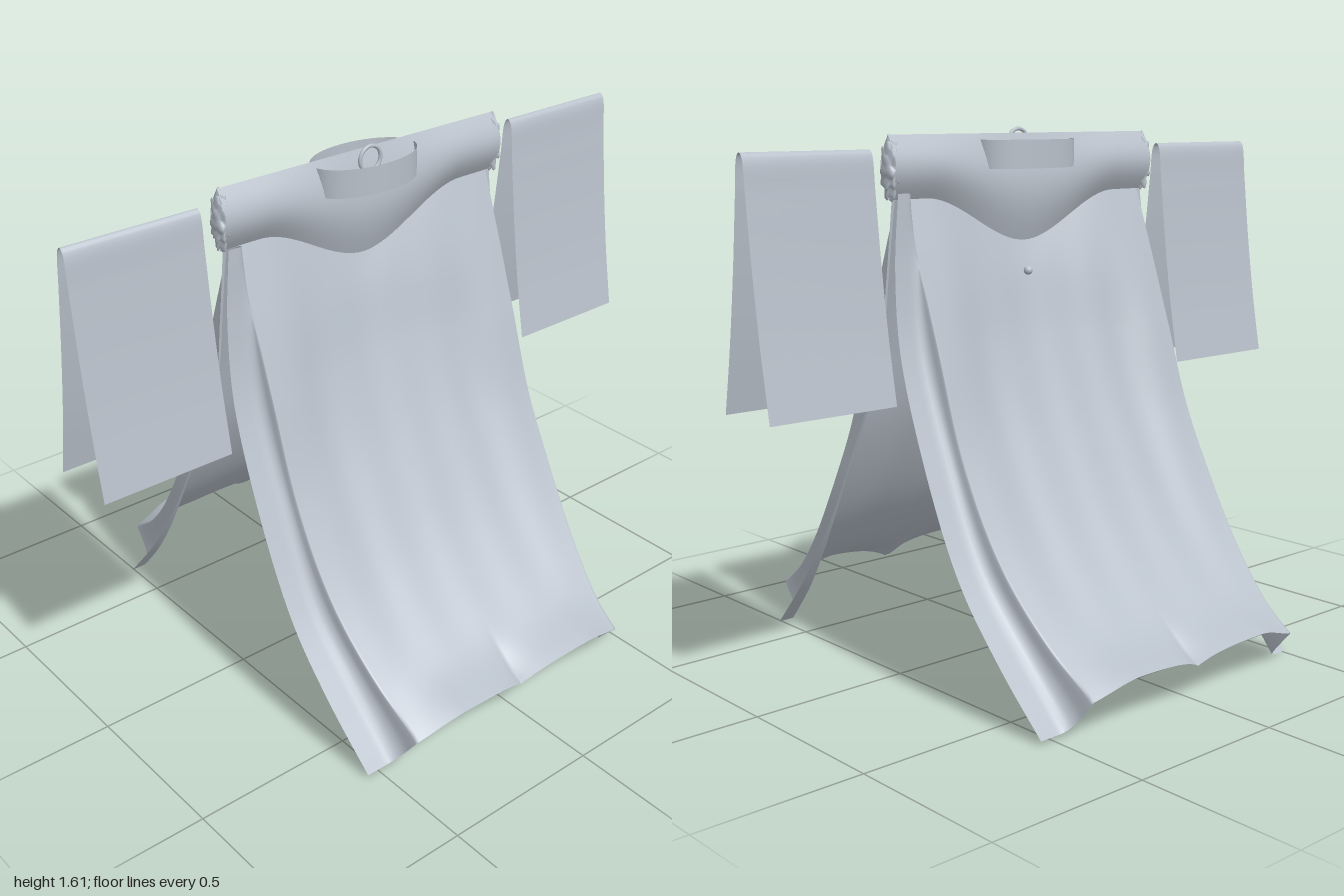
import * as THREE from 'three';

const smooth = THREE.MathUtils.smoothstep;
const lerp = THREE.MathUtils.lerp;

// Smooth sheet from a rule fn(u, v) -> [x, y, z], with u and v in 0..1
function sheet(fn, nu, nv) {
  const pos = [], index = [];
  for (let j = 0; j <= nv; j++)
    for (let i = 0; i <= nu; i++) pos.push(...fn(i / nu, j / nv));
  for (let j = 0; j < nv; j++)
    for (let i = 0; i < nu; i++) {
      const a = j * (nu + 1) + i, b = a + nu + 1;
      index.push(a, b, a + 1, b, b + 1, a + 1);
    }
  const g = new THREE.BufferGeometry();
  g.setAttribute('position', new THREE.Float32BufferAttribute(pos, 3));
  g.setIndex(index);
  g.computeVertexNormals();
  return g;
}

// Side profile given as [z, y] pairs
const rail = (pts) => new THREE.CatmullRomCurve3(pts.map(([z, y]) => new THREE.Vector3(0, y, z)));

// Seam between yoke and skirt: straight at the shoulders, dipping at the neck
const seamY = (x) => 1.42 - 0.14 * (1 - smooth(Math.abs(x), 0, 0.38));

// Hanging panel: centre, ridge and folded edges each follow their own profile
const centre = rail([[0, 1.28], [0.035, 1.19], [0.1, 0.99], [0.23, 0.7], [0.41, 0.41], [0.6, 0.22], [0.76, 0.155]]);
const ridge = rail([[0, 1.42], [0.08, 1.2], [0.15, 1.0], [0.255, 0.7], [0.42, 0.41], [0.59, 0.22], [0.735, 0.11]]);
const narrowEdge = rail([[0, 1.42], [0.03, 1.2], [0.07, 0.97], [0.21, 0.66], [0.36, 0.38], [0.5, 0.18], [0.645, 0.01]]);
const wideEdge = rail([[0.05, 1.44], [0.06, 1.24], [0.1, 1.0], [0.22, 0.68], [0.365, 0.39], [0.52, 0.19], [0.67, 0.02]]);

const FOLD = 0.8;
function panelPoint(u, v) {
  const side = u * 2 - 1, s = Math.abs(side), wide = side < 0;
  const r = ridge.getPoint(v);
  const hem = smooth(v, 0.55, 1);
  const ridgeX = wide ? lerp(0.46, 0.415, hem) : lerp(0.49, 0.42, hem);
  if (s > FOLD) {
    // the side drops behind the ridge, then runs outwards as a flap
    const e = (wide ? wideEdge : narrowEdge).getPoint(v);
    const edgeX = wide ? 0.52 + 0.05 * Math.sin(Math.PI * 0.85 * v) : 0.505;
    const k = (s - FOLD) / (1 - FOLD);
    const drop = smooth(k, 0, 0.6), out = 0.2 * k + 0.8 * smooth(k, 0.3, 1);
    return [Math.sign(side) * lerp(ridgeX, edgeX, out), lerp(r.y, e.y, drop), lerp(r.z, e.z, drop)];
  }
  const c = centre.getPoint(v);
  const x = (side / FOLD) * ridgeX, a = Math.abs(x);
  const k = lerp(smooth(a, 0, 0.38), smooth(a, 0.25, 0.45), smooth(v, 0, 0.6));
  const notch = Math.exp(-a / 0.07) * smooth(v, 0.8, 1);
  const wrinkle = 0.002 * Math.sin(x * 34 + v * 2) * Math.sin(Math.PI * v);
  return [x, lerp(c.y, r.y, k) - 0.04 * notch, lerp(c.z, r.z, k) - 0.02 * notch + wrinkle];
}

// Half of the rolled yoke, from the seam up to the shoulder line
function yokePoint(u, v) {
  const x = (u * 2 - 1) * 0.515;
  return [x, lerp(seamY(x), 1.603, v), 0.037 * Math.max(0, Math.sin(Math.PI * v))];
}

// Crumpled knot of cloth: a ball with folds pressed into it
function crumple() {
  const g = new THREE.SphereGeometry(1, 40, 32);
  const p = g.attributes.position, q = new THREE.Vector3();
  for (let i = 0; i < p.count; i++) {
    q.fromBufferAttribute(p, i);
    const folds = Math.sin(q.y * 13 + q.z * 4) * Math.cos(q.z * 5 - q.x * 3) + 0.5 * Math.sin(q.y * 7 - q.x * 6);
    q.multiplyScalar(0.85 + 0.16 * folds);
    p.setXYZ(i, q.x * 0.022, q.y * 0.1, q.z * 0.036);
  }
  g.computeVertexNormals();
  return g;
}

export function createModel() {
  const model = new THREE.Group();
  model.name = 'drapedGarment';
  const cloth = new THREE.MeshStandardMaterial({ color: 0xb8c0ca, side: THREE.DoubleSide });
  cloth.name = 'pale grey cloth';

  const add = (name, geometry) => {
    const mesh = new THREE.Mesh(geometry, cloth);
    mesh.name = name;
    model.add(mesh);
    return mesh;
  };

  // Front and back are the same pieces turned half round
  const panelGeo = sheet(panelPoint, 140, 60);
  const yokeGeo = sheet(yokePoint, 48, 20);
  for (const [name, turn] of [['front', 0], ['back', Math.PI]]) {
    add(name + 'Panel', panelGeo).rotation.y = turn;
    add(name + 'Yoke', yokeGeo).rotation.y = turn;
  }

  // Collar: open oval band
  const collar = add('collar', new THREE.CylinderGeometry(0.182, 0.182, 0.085, 64, 1, true));
  collar.scale.z = 0.57;
  collar.position.y = 1.542;

  // Hanging loop at the neck
  add('neckLoop', new THREE.TorusGeometry(0.038, 0.006, 10, 32)).position.set(0, 1.577, 0.028);

  // Sleeves: folded sheets flaring towards the hem
  const sleeveCurve = rail([[0.11, 0.85], [0.075, 1.05], [0.046, 1.26], [0.025, 1.45], [0.013, 1.55],
    [0, 1.563], [-0.013, 1.55], [-0.025, 1.45], [-0.046, 1.26], [-0.075, 1.05], [-0.11, 0.85]]);
  const sleeveGeo = sheet((u, v) => {
    const p = sleeveCurve.getPoint(v);
    return [lerp(1, 0.58, u), p.y, p.z];
  }, 4, 60);
  add('leftSleeve', sleeveGeo);
  add('rightSleeve', sleeveGeo).rotation.y = Math.PI;

  // Crumpled cloth at the shoulder ends
  const crumpleGeo = crumple();
  for (const [name, side] of [['left', 1], ['right', -1]]) {
    const knot = add(name + 'ShoulderCrumple', crumpleGeo);
    knot.position.set(side * 0.51, 1.505, 0);
    knot.rotation.y = side > 0 ? 0 : Math.PI;
  }

  // Row of buttons
  const buttonGeo = new THREE.SphereGeometry(0.0135, 16, 12);
  for (let i = 0; i < 5; i++) add('button', buttonGeo).position.set(0.025, 0.075 + i * 0.279, -0.045);

  return model;
}
